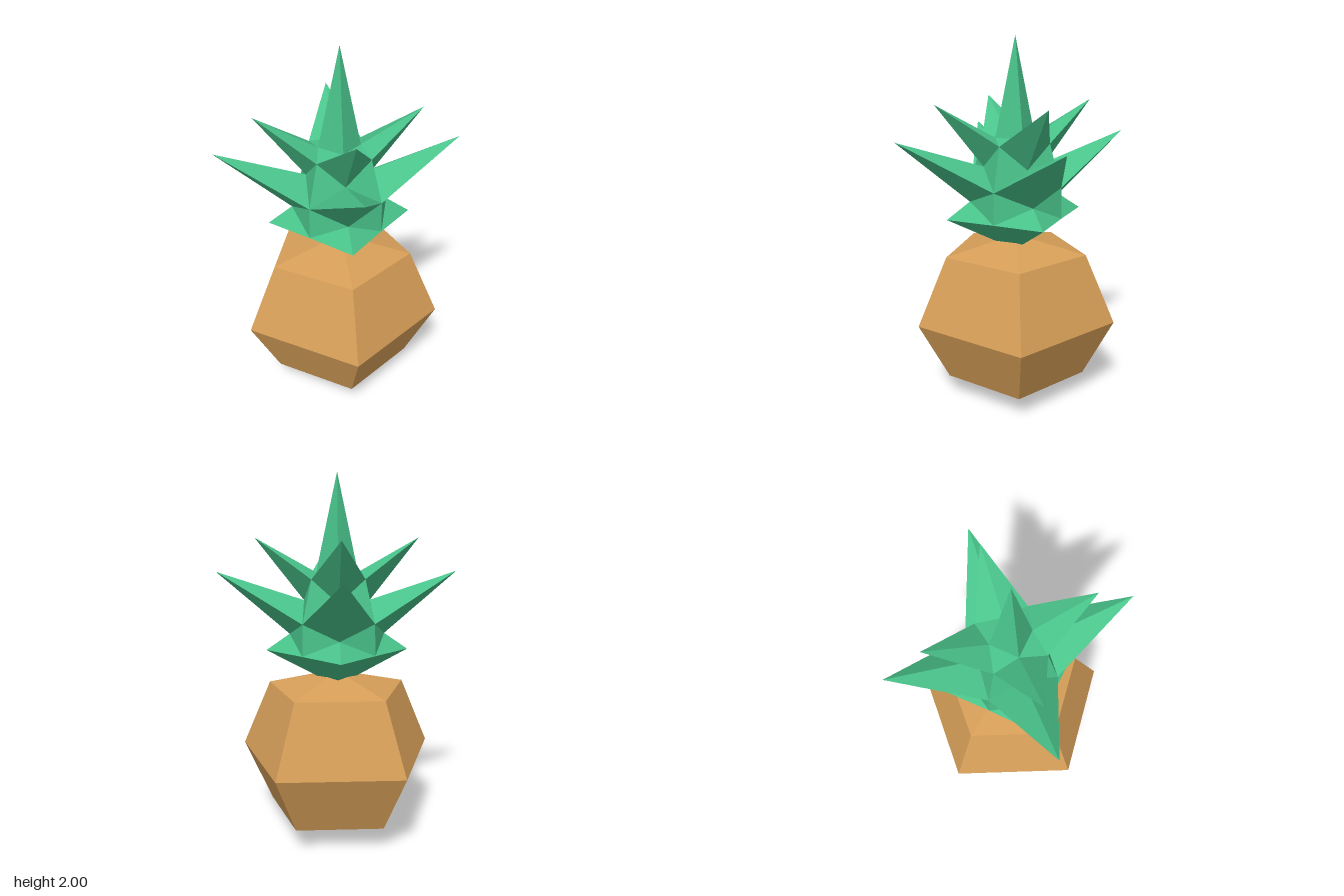
import * as THREE from 'three';

const fruitMat = new THREE.MeshStandardMaterial({ color: 0xd69e58, flatShading: true });
fruitMat.name = 'fruit tan';
const leafMat = new THREE.MeshStandardMaterial({ color: 0x49c28a, flatShading: true });
leafMat.name = 'leaf green';

// Five-sided fruit body, one corner facing the front
function makeFruit() {
  const profile = [[0, 0], [0.4, 0.13], [0.567, 0.46], [0.4, 0.84], [0, 0.93]]
    .map(([r, y]) => new THREE.Vector2(r, y));
  const mesh = new THREE.Mesh(new THREE.LatheGeometry(profile, 5), fruitMat);
  mesh.name = 'fruitBody';
  return mesh;
}

// Leaf crown: eight-point rings alternating between leaf tips and the notches between them
function makeCrown() {
  // [tip radius, tip height, notch radius, notch height]
  const rings = [
    [0, 0.9, 0, 0.9],            // closed underside
    [0.11, 0.9, 0.078, 0.9],
    [0.39, 1.05, 0.272, 1.05],   // lowest collar
    [0.26, 1.14, 0.268, 1.22],
    [0.65, 1.48, 0.268, 1.22],   // large leaves
    [0.18, 1.325, 0.2, 1.45],
    [0.44, 1.66, 0.2, 1.45],     // small leaves
    [0.113, 1.475, 0.08, 1.475],
    [0, 2, 0, 2],                // centre spike
  ];
  const tip = (i, k) => {
    const a = k * Math.PI / 2;
    return new THREE.Vector3(Math.sin(a) * rings[i][0], rings[i][1], Math.cos(a) * rings[i][0]);
  };
  const notch = (i, k) => {
    const a = (k + 0.5) * Math.PI / 2;
    return new THREE.Vector3(Math.sin(a) * rings[i][2], rings[i][3], Math.cos(a) * rings[i][2]);
  };
  const points = [];
  const tri = (a, b, c) => {
    const area = b.clone().sub(a).cross(c.clone().sub(a)).length();
    if (area > 1e-6) points.push(a, b, c);
  };
  for (let i = 0; i < rings.length - 1; i++) {
    for (let k = 0; k < 4; k++) {
      // Half leaf on one side of the notch, then its mirror on the other
      tri(tip(i, k), notch(i, k), tip(i + 1, k));
      tri(notch(i, k), notch(i + 1, k), tip(i + 1, k));
      tri(notch(i, k), tip(i, k + 1), tip(i + 1, k + 1));
      tri(notch(i, k), tip(i + 1, k + 1), notch(i + 1, k));
    }
  }
  const geo = new THREE.BufferGeometry().setFromPoints(points);
  geo.computeVertexNormals();
  const mesh = new THREE.Mesh(geo, leafMat);
  mesh.name = 'leafCrown';
  return mesh;
}

export function createModel() {
  const group = new THREE.Group();
  group.name = 'pineapple';
  group.add(makeFruit(), makeCrown());
  return group;
}
